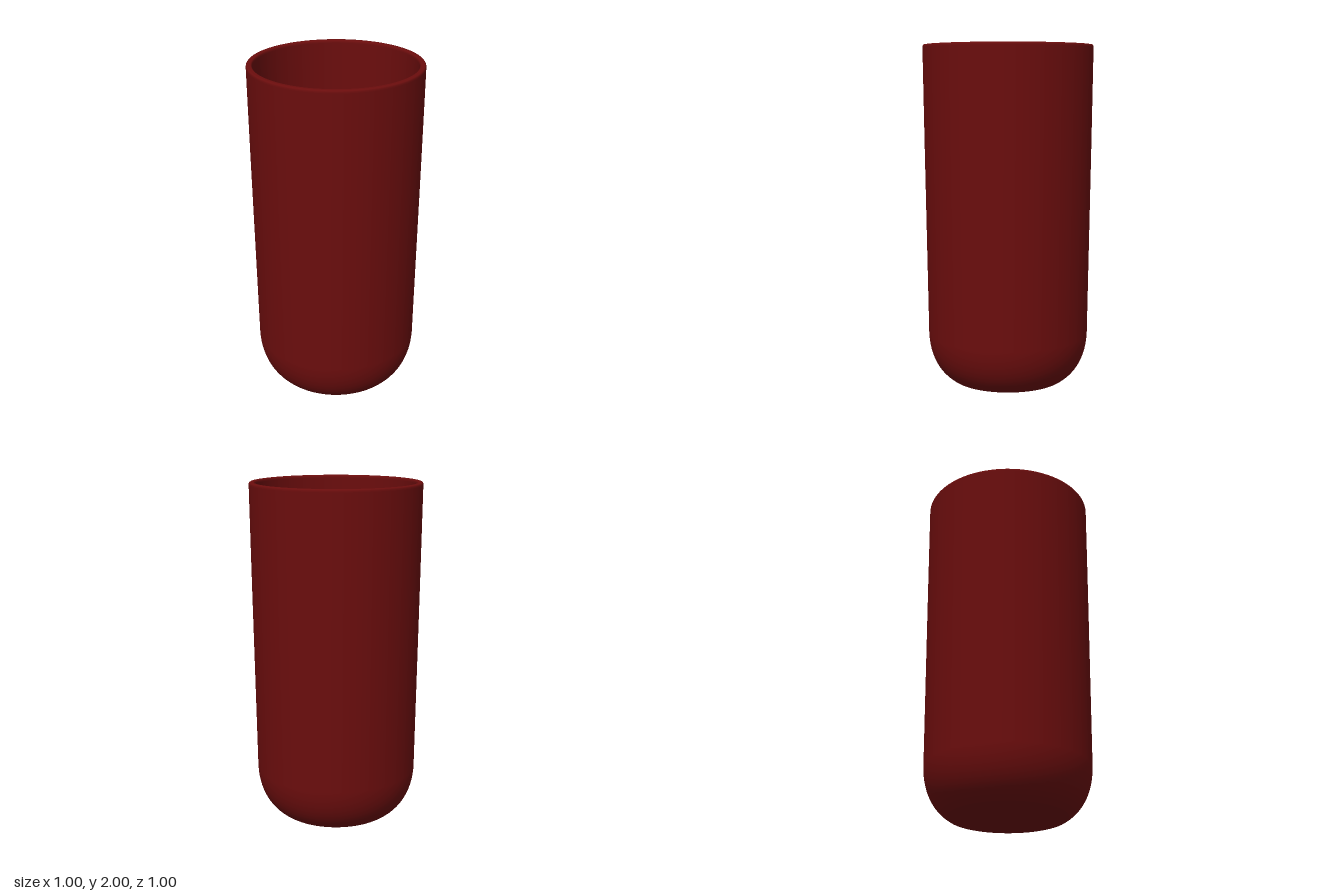
import * as THREE from 'three';

const V = (x, y) => new THREE.Vector2(x, y);
const curve = (a, b, c, d, n) => new THREE.CubicBezierCurve(V(...a), V(...b), V(...c), V(...d)).getPoints(n);

export function createModel() {
  const group = new THREE.Group();
  group.name = 'tumbler';
  const material = new THREE.MeshStandardMaterial({ color: 0x6b0d0d });

  // Each section is its own lathe, so the edges between sections stay crisp
  const addSection = (name, points) => {
    const mesh = new THREE.Mesh(new THREE.LatheGeometry(points, 96), material);
    mesh.name = name;
    group.add(mesh);
  };

  // Profile runs from the base centre, up the outside, over the rim and down the inside
  addSection('base', [V(0, 0), V(0.34, 0)]);
  addSection('outerWall', [
    ...curve([0.34, 0], [0.425, 0.05], [0.476, 0.15], [0.48, 0.28], 16),
    V(0.487, 0.85), V(0.494, 1.42), V(0.5, 1.985),
  ]);
  addSection('rim', [
    ...curve([0.5, 1.985], [0.5, 1.995], [0.497, 2], [0.489, 2], 5),
    ...curve([0.476, 2], [0.469, 2], [0.465, 1.995], [0.465, 1.985], 5),
  ]);
  addSection('innerWall', [
    V(0.465, 1.985), V(0.459, 1.42), V(0.452, 0.85),
    ...curve([0.445, 0.28], [0.442, 0.2], [0.425, 0.12], [0.375, 0.07], 16),
  ]);
  addSection('innerFloor', [V(0.375, 0.07), V(0, 0.07)]);
  return group;
}
